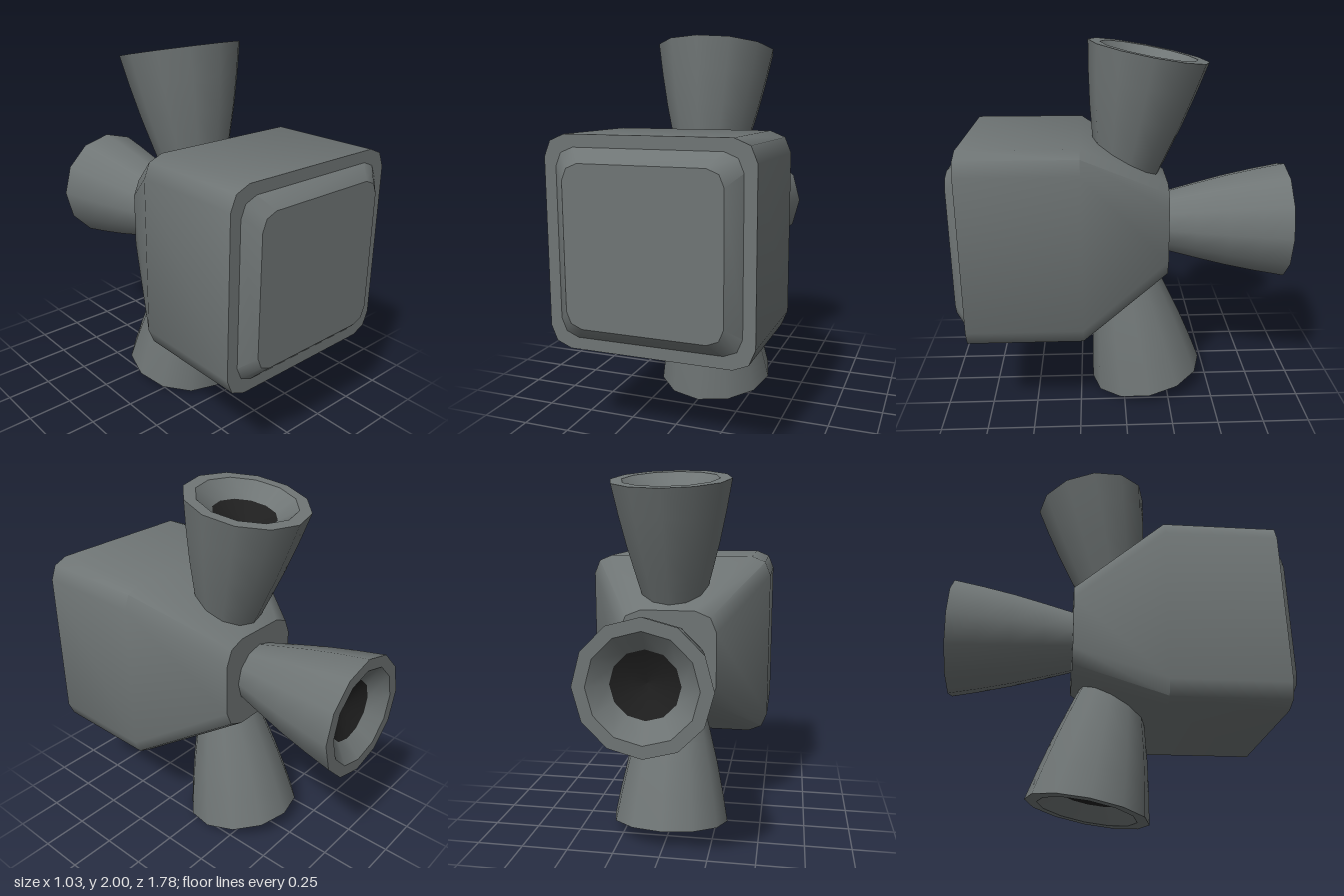
import * as THREE from 'three';
import { mergeGeometries, toCreasedNormals } from 'three/addons/utils/BufferGeometryUtils.js';

const CENTER_Y = 1.004;

// Square outline with chamfered round corners, counterclockwise seen from +z
function roundedSquare(half, radius) {
  const pts = [];
  for (let corner = 0; corner < 4; corner++) {
    const base = corner * Math.PI / 2;
    const cx = (half - radius) * Math.SQRT2 * Math.cos(base + Math.PI / 4);
    const cy = (half - radius) * Math.SQRT2 * Math.sin(base + Math.PI / 4);
    for (let i = 0; i <= 2; i++) {
      const a = base + i * Math.PI / 4;
      pts.push(new THREE.Vector2(cx + radius * Math.cos(a), cy + radius * Math.sin(a)));
    }
  }
  return pts;
}

// Skin between square sections, listed back to front, with flat end caps
function loftSquares(sections) {
  const rings = sections.map(s => roundedSquare(s.half, s.radius));
  const n = rings[0].length;
  const pos = [];
  const index = [];
  rings.forEach((ring, k) => ring.forEach(p => pos.push(p.x, p.y, sections[k].z)));
  for (let k = 0; k < rings.length - 1; k++) {
    for (let i = 0; i < n; i++) {
      const a = k * n + i, b = k * n + (i + 1) % n;
      index.push(a, b, b + n, a, b + n, a + n);
    }
  }
  const skin = new THREE.BufferGeometry();
  skin.setAttribute('position', new THREE.Float32BufferAttribute(pos, 3));
  skin.setIndex(index);
  const sides = toCreasedNormals(skin, 0.85);

  const cap = (k, flip) => {
    const g = new THREE.ShapeGeometry(new THREE.Shape(rings[k])).toNonIndexed();
    g.deleteAttribute('uv');
    if (flip) g.rotateY(Math.PI); // outline is symmetric, so turning it keeps the fit
    return g.translate(0, 0, sections[k].z);
  };
  return mergeGeometries([sides, cap(0, true), cap(rings.length - 1, false)]);
}

function lathe(points) {
  return new THREE.LatheGeometry(points.map(p => new THREE.Vector2(p[0], p[1])), 12);
}

// Nozzle pointing along +y with its rim centred on the origin
function makeNozzle(name, hull, dark) {
  const nozzle = new THREE.Group();
  nozzle.name = name;
  const add = (part, geometry, material) => {
    const mesh = new THREE.Mesh(geometry, material);
    mesh.name = part;
    nozzle.add(mesh);
  };
  add('nozzleBell', lathe([[0.17, -0.655], [0.212, -0.5], [0.256, -0.33], [0.293, -0.16], [0.323, 0]]), hull);
  add('nozzleRim', lathe([[0.323, 0], [0.26, 0]]), hull);
  add('nozzleInside', lathe([[0.26, 0], [0.166, -0.075]]), hull);
  add('nozzleThroat', lathe([[0.166, -0.075], [0.08, -0.115], [0, -0.13]]), dark);
  return nozzle;
}

export function createModel() {
  const hull = new THREE.MeshStandardMaterial({ color: 0x6f7575 });
  hull.name = 'hull grey';
  const dark = new THREE.MeshStandardMaterial({ color: 0x1f1f1f });
  dark.name = 'throat black';

  const model = new THREE.Group();
  model.name = 'thrusterBlock';

  // Main block with tapered back
  const body = new THREE.Mesh(loftSquares([
    { z: -0.235, half: 0.26, radius: 0.115 },
    { z: 0.225, half: 0.517, radius: 0.107 },
    { z: 0.825, half: 0.517, radius: 0.107 },
  ]), hull);
  body.name = 'body';
  body.position.y = CENTER_Y;

  // Bevelled mounting plate on the front
  const plate = new THREE.Mesh(loftSquares([
    { z: 0.82, half: 0.457, radius: 0.09 },
    { z: 0.825, half: 0.457, radius: 0.09 },
    { z: 0.89, half: 0.39, radius: 0.08 },
  ]), hull);
  plate.name = 'frontPlate';
  plate.position.y = CENTER_Y;
  model.add(body, plate);

  // Three nozzles: up, down and back
  const tilt = 0.187;
  [
    ['topNozzle', 1.939, -0.137, -tilt],
    ['bottomNozzle', 0.064, -0.137, tilt - Math.PI],
    ['backNozzle', CENTER_Y, -0.89, -Math.PI / 2],
  ].forEach(([name, y, z, angle]) => {
    const nozzle = makeNozzle(name, hull, dark);
    nozzle.position.set(0, y, z);
    nozzle.rotation.x = angle;
    model.add(nozzle);
  });

  return model;
}
